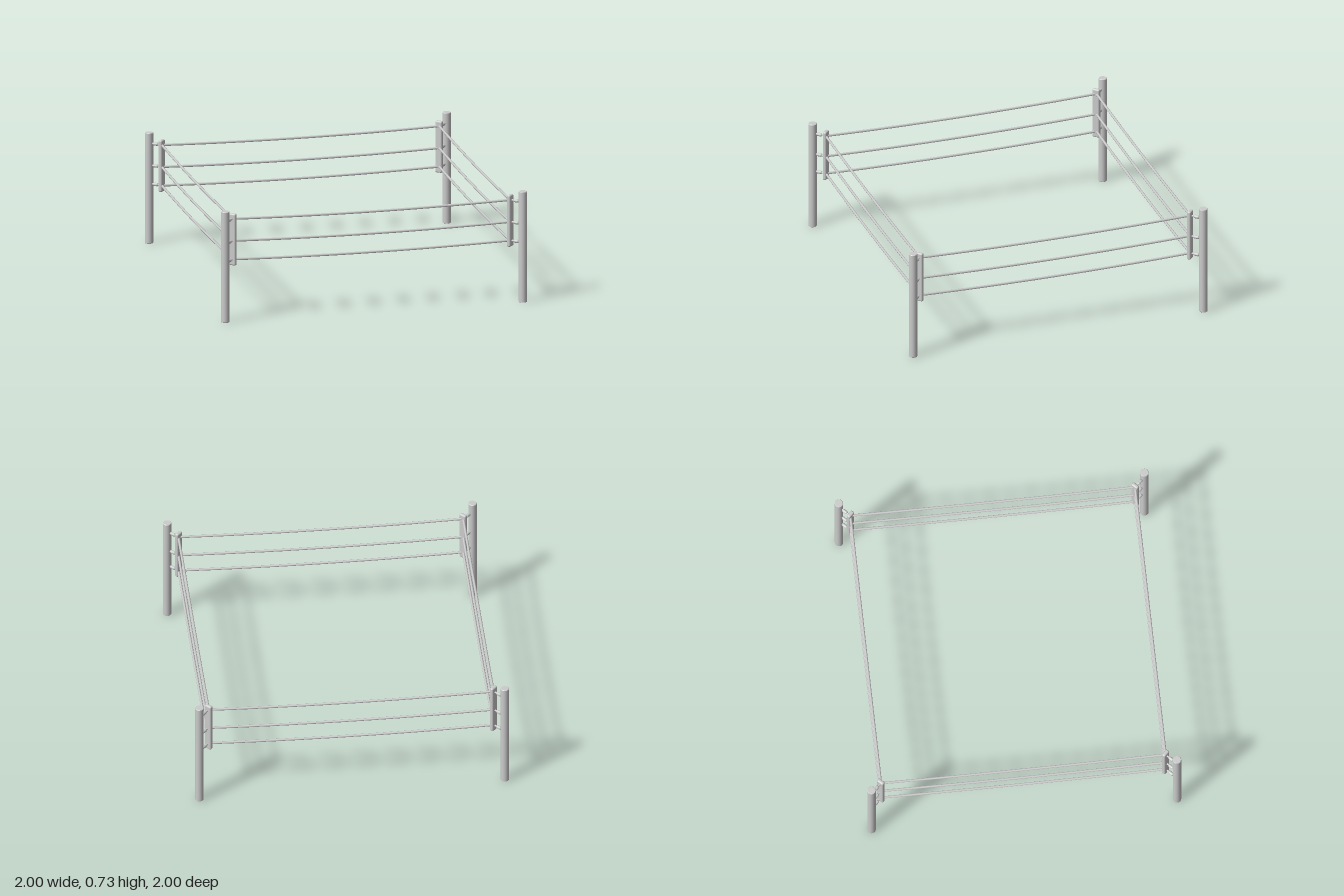
import * as THREE from 'three';
import { RoundedBoxGeometry } from 'three/addons/geometries/RoundedBoxGeometry.js';

const material = new THREE.MeshStandardMaterial({ color: 0xcccccc });
const POST = 0.973;   // post centre on both axes
const PAD = 0.907;    // corner pad centre on both axes
const ROPES = [0.657, 0.513, 0.391];
const SAG = 0.014;

function add(parent, name, geometry, x = 0, y = 0, z = 0) {
  const mesh = new THREE.Mesh(geometry, material);
  mesh.name = name;
  mesh.position.set(x, y, z);
  parent.add(mesh);
  return mesh;
}

// Solid of revolution with crisp edges: each pair of points is its own band
function turned(points, sides) {
  const doubled = points.flatMap((p, i) => (i && i < points.length - 1 ? [p, p] : [p]));
  return new THREE.LatheGeometry(doubled.map(([r, y]) => new THREE.Vector2(r, y)), sides);
}

export function createModel() {
  const group = new THREE.Group();
  group.name = 'ropedRing';

  const postGeometry = turned(
    [[0, 0], [0.024, 0], [0.027, 0.003], [0.027, 0.724], [0.024, 0.727], [0, 0.727]], 24);
  const padGeometry = new RoundedBoxGeometry(0.05, 0.34, 0.026, 3, 0.01);

  // Tensioner: thin rod with a thicker spindle in the middle
  const reach = (POST - PAD) * Math.SQRT2;
  const tensionerGeometry = turned([
    [0.006, 0], [0.006, 0.026], [0.011, 0.032], [0.011, 0.058], [0.006, 0.064], [0.006, reach],
  ], 12);
  tensionerGeometry.rotateX(Math.PI / 2);

  // Gently sagging rope along x
  const curve = new THREE.CatmullRomCurve3(
    Array.from({ length: 9 }, (_, i) => {
      const t = i / 4 - 1;
      return new THREE.Vector3(t * PAD, SAG * (t * t - 1), 0);
    }));
  const ropeGeometry = new THREE.TubeGeometry(curve, 24, 0.008, 8);

  for (let i = 0; i < 4; i++) {
    // Corner: local +z points outwards along the diagonal
    const corner = new THREE.Group();
    corner.name = 'corner';
    corner.rotation.y = Math.PI / 4 + i * Math.PI / 2;
    add(corner, 'post', postGeometry, 0, 0, POST * Math.SQRT2);
    add(corner, 'cornerPad', padGeometry, 0, 0.522, PAD * Math.SQRT2);
    for (const y of ROPES) add(corner, 'tensioner', tensionerGeometry, 0, y, PAD * Math.SQRT2);
    group.add(corner);

    // Side: three ropes between neighbouring pads
    const side = new THREE.Group();
    side.name = 'sideRopes';
    side.rotation.y = i * Math.PI / 2;
    for (const y of ROPES) add(side, 'rope', ropeGeometry, 0, y, PAD);
    group.add(side);
  }
  return group;
}
